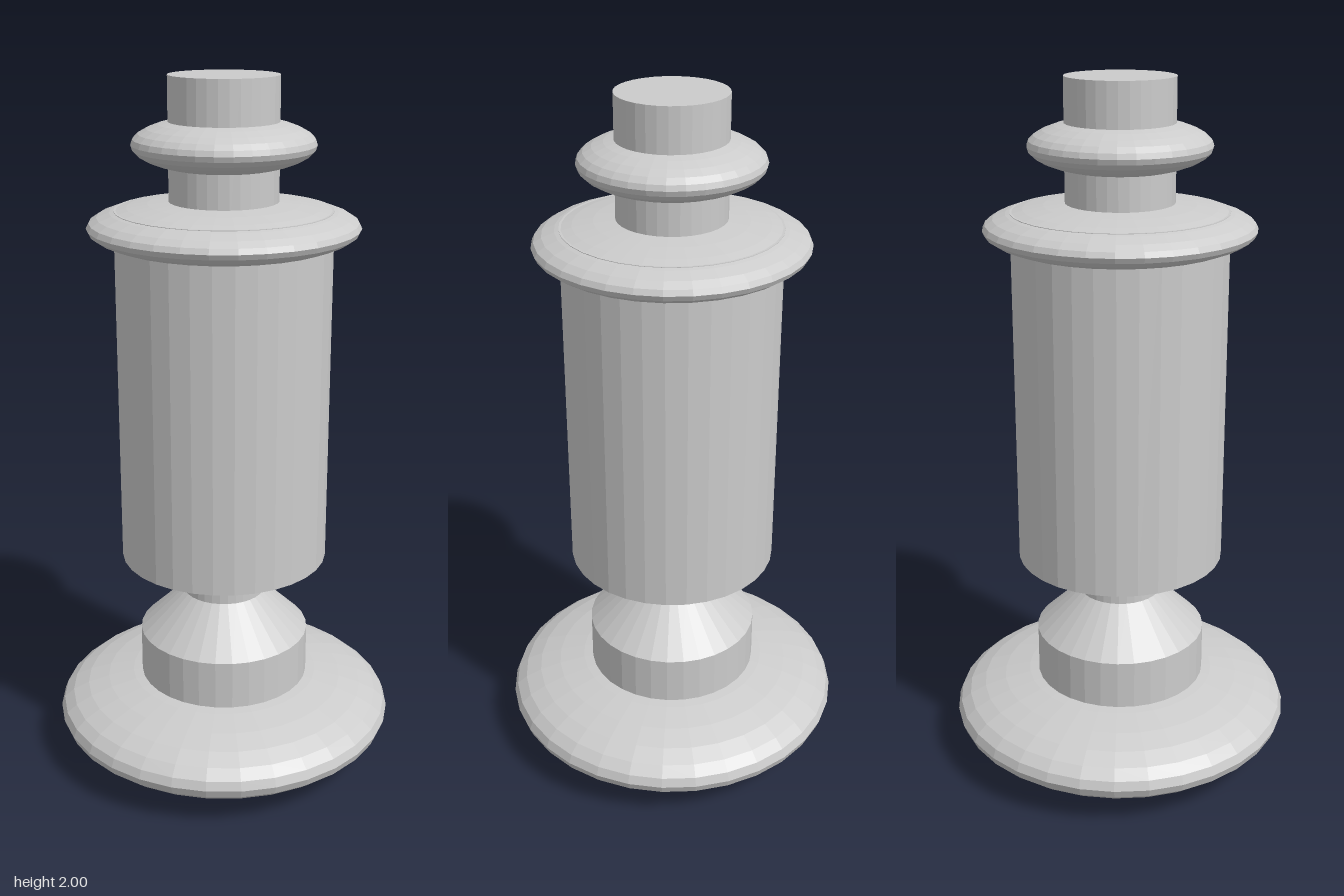
import * as THREE from 'three';

const SIDES = 32;

export function createModel() {
  const model = new THREE.Group();
  const material = new THREE.MeshStandardMaterial({ color: 0xcccccc, flatShading: true });

  const add = (name, geometry, y) => {
    const mesh = new THREE.Mesh(geometry, material);
    mesh.name = name;
    mesh.position.y = y;
    model.add(mesh);
  };

  // Round section between two heights, straight or tapered
  const section = (name, bottom, top, rBottom, rTop = rBottom) =>
    add(name, new THREE.CylinderGeometry(rTop, rBottom, top - bottom, SIDES), (bottom + top) / 2);

  // Squashed sphere
  const disc = (name, y, radius, halfHeight) =>
    add(name, new THREE.SphereGeometry(1, SIDES, 16).scale(radius, halfHeight, radius), y);

  // Foot
  disc('base', 0.13, 0.5, 0.13);
  section('pedestal', 0.13, 0.385, 0.25);
  section('shoulder', 0.385, 0.51, 0.25, 0.12);
  section('neck', 0.5, 0.64, 0.12);

  // Main barrel and its collar
  section('body', 0.63, 1.646, 0.3);
  disc('collar', 1.6, 0.375, 0.075);

  // Top stem with ring
  section('stem', 1.6, 2, 0.15);
  disc('ring', 1.82, 0.25, 0.075);

  return model;
}
